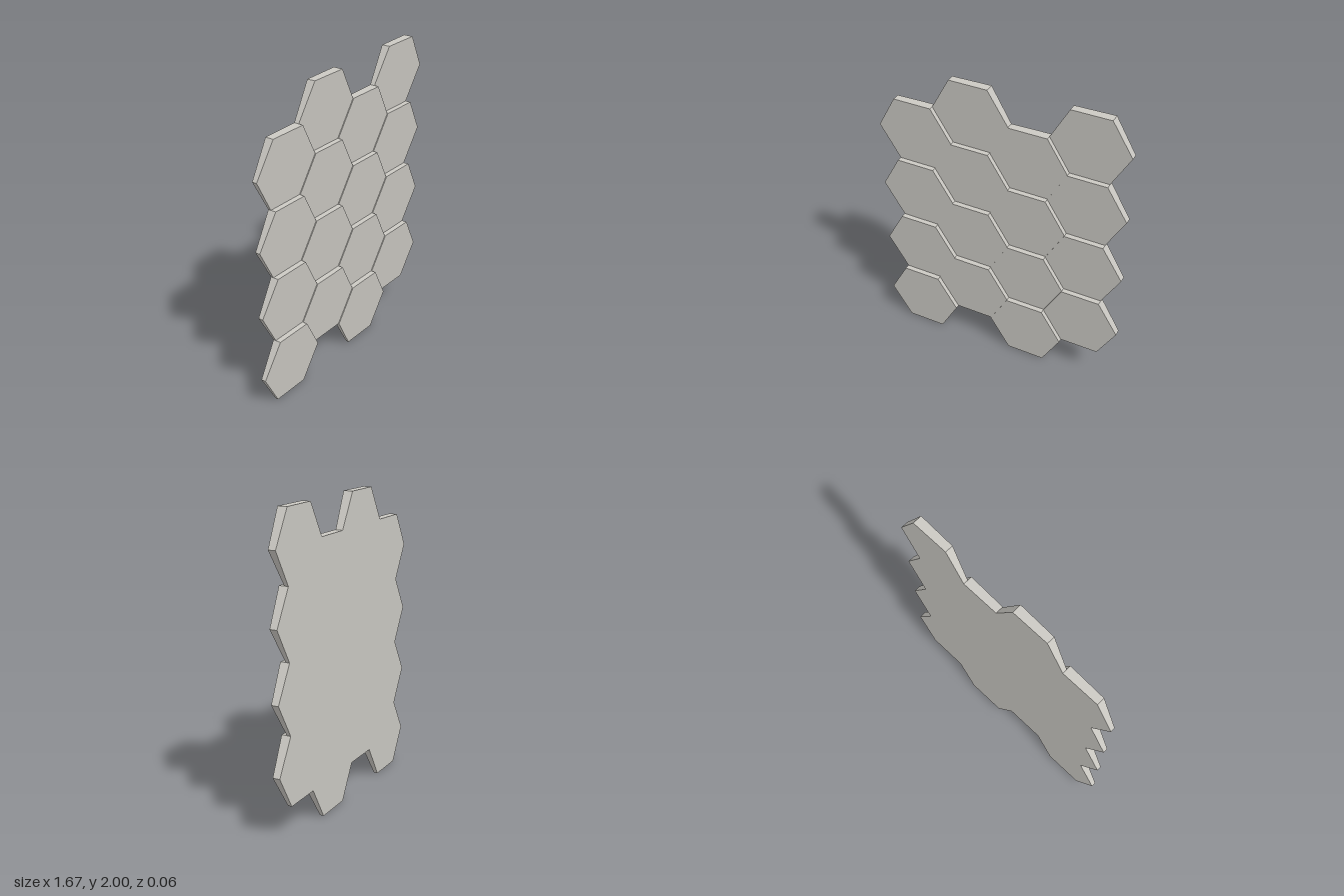
import * as THREE from 'three';

const APOTHEM = 2 / 9;
const RADIUS = APOTHEM / Math.cos(Math.PI / 6);
const BACK = -0.031;

// Hexagonal prism with a flat back and a front face tilted down and to one side
function tileGeometry() {
  const corners = [];
  for (let i = 0; i < 6; i++) {
    const a = (i * Math.PI) / 3;
    corners.push(new THREE.Vector2(RADIUS * Math.cos(a), RADIUS * Math.sin(a)));
  }
  const geometry = new THREE.ExtrudeGeometry(new THREE.Shape(corners), { depth: 1, bevelEnabled: false });
  const p = geometry.attributes.position;
  for (let i = 0; i < p.count; i++) {
    const front = 0.009 + 0.032 * p.getX(i) + 0.08 * p.getY(i);
    p.setZ(i, p.getZ(i) > 0.5 ? front : BACK);
  }
  geometry.computeVertexNormals();
  return geometry;
}

export function createModel() {
  const model = new THREE.Group();
  model.name = 'hexagonTilePanel';
  const stone = new THREE.MeshStandardMaterial({ color: 0xcbc9c3 });
  stone.name = 'paleGrey';
  const geometry = tileGeometry();

  // Four staggered columns of four tiles
  for (let col = 0; col < 4; col++) {
    const column = new THREE.Group();
    column.name = `tileColumn${col + 1}`;
    column.position.set((col - 1.5) * 1.5 * RADIUS, APOTHEM * (1 + (col % 2)), 0);
    for (let row = 0; row < 4; row++) {
      const tile = new THREE.Mesh(geometry, stone);
      tile.name = `tile${row + 1}`;
      tile.position.y = row * 2 * APOTHEM;
      column.add(tile);
    }
    model.add(column);
  }
  return model;
}
